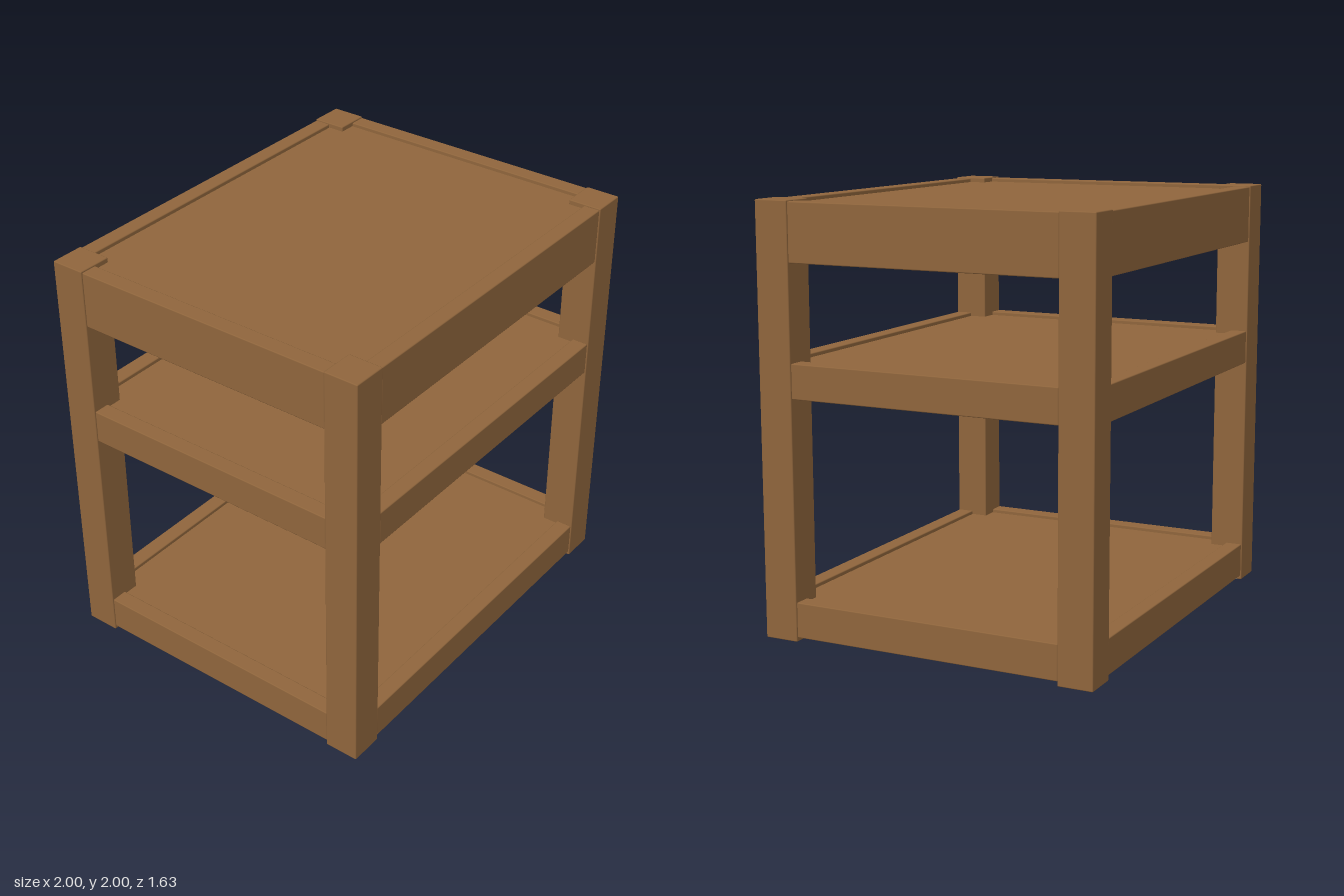
import * as THREE from 'three';
import { RoundedBoxGeometry } from 'three/addons/geometries/RoundedBoxGeometry.js';

export function createModel() {
  const model = new THREE.Group();
  model.name = 'sideTable';
  const wood = new THREE.MeshStandardMaterial({ color: 0x8f653c });
  wood.name = 'wood';
  const metal = new THREE.MeshStandardMaterial({ color: 0x74777a });
  metal.name = 'greyMetal';

  const W = 1, D = 0.815;      // half width and half depth
  const POST = 0.165, RAIL = 0.08;
  const INSET = 0.004;         // rails sit just inside the post faces

  function add(name, geometry, material, x, y, z) {
    const mesh = new THREE.Mesh(geometry, material);
    mesh.name = name;
    mesh.position.set(x, y, z);
    model.add(mesh);
    return mesh;
  }
  const board = (w, h, d) => new RoundedBoxGeometry(w, h, d, 1, 0.005);

  // Corner posts with foot pads
  for (const sx of [-1, 1]) for (const sz of [-1, 1]) {
    const x = sx * (W - POST / 2), z = sz * (D - POST / 2);
    add('post', board(POST, 1.99, POST), wood, x, 1.005, z);
    add('footPad', new THREE.BoxGeometry(0.1, 0.012, 0.1), metal, x, 0.006, z);
  }

  // Three framed shelves: bottom and top height of the rails
  const shelves = [
    ['bottom', 0.03, 0.195],
    ['middle', 1.125, 1.285],
    ['top', 1.727, 1.995],
  ];
  for (const [name, y0, y1] of shelves) {
    const h = y1 - y0, y = (y0 + y1) / 2;
    for (const s of [-1, 1]) {
      add(name + 'LongRail', board(2 * (W - POST), h, RAIL), wood, 0, y, s * (D - INSET - RAIL / 2));
      add(name + 'ShortRail', board(RAIL, h, 2 * (D - POST)), wood, s * (W - INSET - RAIL / 2), y, 0);
    }
    // Panel set slightly below the rail tops
    const inner = INSET + RAIL;
    add(name + 'Panel', new THREE.BoxGeometry(2 * (W - inner), 0.03, 2 * (D - inner)), wood, 0, y1 - 0.033, 0);

    // Corner bolts on the inner edges of the posts
    if (name === 'top') continue;
    for (const sx of [-1, 1]) for (const sz of [-1, 1]) {
      const bolt = add(name + 'Bolt', new THREE.CylinderGeometry(0.02, 0.02, 0.05, 12), metal,
        sx * (W - POST - 0.01), y0 + 0.06, sz * (D - POST - 0.01));
      bolt.quaternion.setFromUnitVectors(new THREE.Vector3(0, 1, 0), new THREE.Vector3(sx, 0, sz).normalize());
    }
  }
  return model;
}
